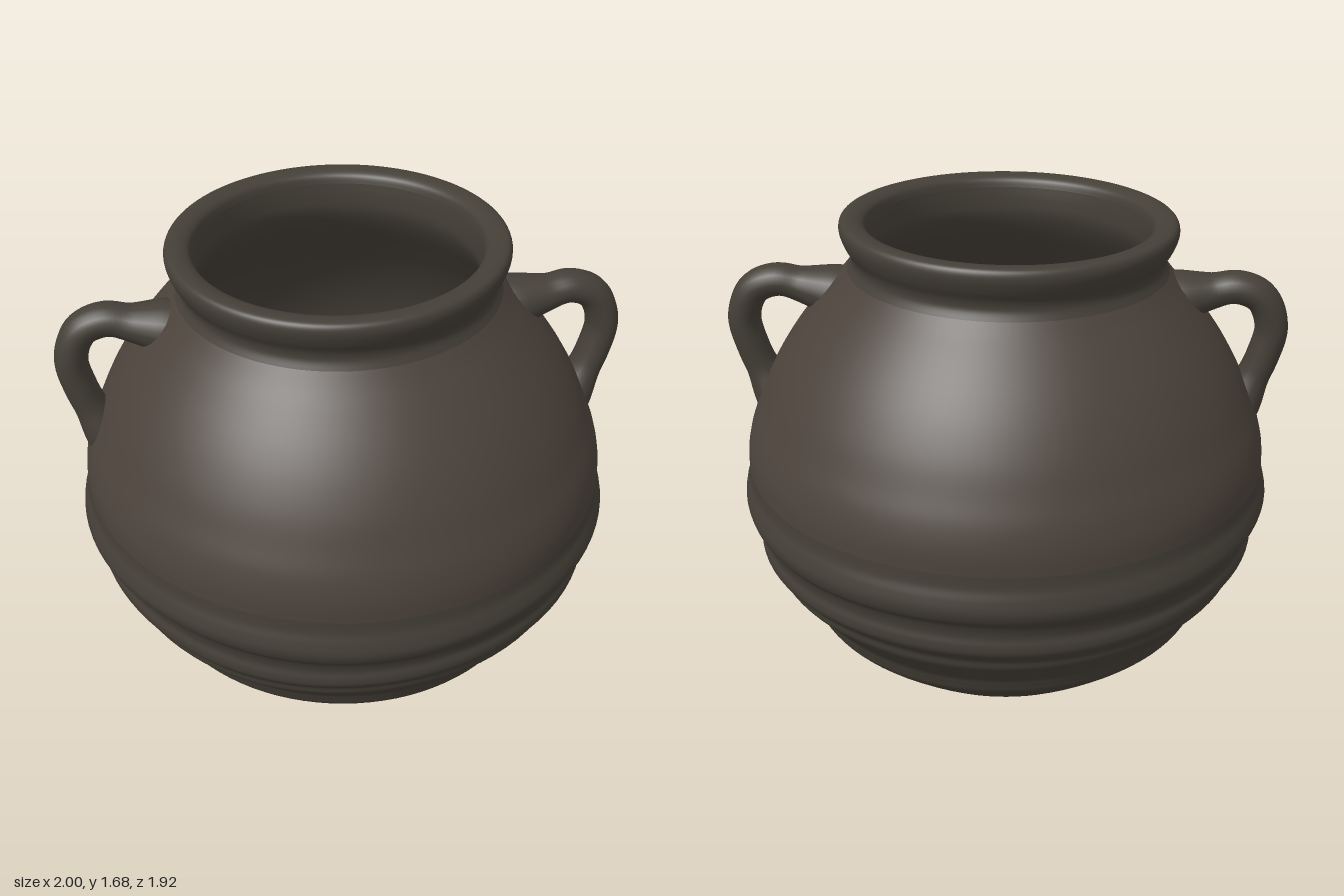
import * as THREE from 'three';

const warmClay = new THREE.MeshStandardMaterial({ name: 'warmClay', color: 0x4b423b });
const darkClay = new THREE.MeshStandardMaterial({ name: 'darkClay', color: 0x443f37 });

const toVectors = (list) => list.map(([x, y]) => new THREE.Vector2(x, y));
const smooth = (list, steps) => new THREE.SplineCurve(toVectors(list)).getPoints(list.length * steps);

// Hand-thrown irregularity: gentle waviness low down, a slightly tilted and shifted mouth
function handThrow(geometry) {
  const p = geometry.attributes.position;
  for (let i = 0; i < p.count; i++) {
    const x = p.getX(i), y = p.getY(i), z = p.getZ(i);
    const a = Math.atan2(z, x);
    const up = THREE.MathUtils.smoothstep(y, 1.1, 1.66);
    const low = THREE.MathUtils.smoothstep(y, 0.1, 0.4) * (1 - THREE.MathUtils.smoothstep(y, 0.6, 0.8));
    const wave = 1 + low * 0.004 * Math.sin(5 * a + y * 9);
    p.setXYZ(i, x * wave - 0.014 * up, y + up * 0.012 * x, z * wave - 0.008 * up);
  }
  return geometry;
}

function lathePart(name, points, material) {
  const mesh = new THREE.Mesh(handThrow(new THREE.LatheGeometry(points, 96)), material);
  mesh.name = name;
  return mesh;
}

// Loop handle: a tube that flares where it meets the body
function handle(name, side) {
  const path = new THREE.CatmullRomCurve3([
    [0.54, 1.37, 0], [0.63, 1.385, 0], [0.72, 1.402, 0], [0.81, 1.42, -0.005], [0.895, 1.385, -0.005],
    [0.94, 1.28, 0], [0.92, 1.16, 0.005], [0.875, 1.04, 0.01], [0.83, 0.94, 0.01],
  ].map(([x, y, z]) => new THREE.Vector3(side * x, y, side < 0 ? z + 0.012 : z)));
  const rings = 56, sides = 20;
  const geometry = new THREE.TubeGeometry(path, rings, 0.058, sides);
  const p = geometry.attributes.position, v = new THREE.Vector3();
  for (let i = 0; i < p.count; i++) {
    const t = Math.floor(i / (sides + 1)) / rings;
    const centre = path.getPointAt(t);
    const flare = 0.6 * (1 - THREE.MathUtils.smoothstep(t, 0.05, 0.28)) + 0.45 * THREE.MathUtils.smoothstep(t, 0.78, 0.98);
    v.fromBufferAttribute(p, i).sub(centre).multiplyScalar(1 + flare);
    v.z *= 1.2;
    v.add(centre);
    p.setXYZ(i, v.x, v.y, v.z);
  }
  geometry.computeVertexNormals();
  // Share normals along the tube seam
  const n = geometry.attributes.normal;
  for (let r = 0; r <= rings; r++) {
    const a = r * (sides + 1), b = a + sides;
    v.fromBufferAttribute(n, a).add(new THREE.Vector3().fromBufferAttribute(n, b)).normalize();
    n.setXYZ(a, v.x, v.y, v.z);
    n.setXYZ(b, v.x, v.y, v.z);
  }
  const mesh = new THREE.Mesh(geometry, darkClay);
  mesh.name = name;
  return mesh;
}

export function createModel() {
  const pot = new THREE.Group();
  pot.name = 'twoHandledPot';

  // Flat foot
  pot.add(lathePart('base', toVectors([[0, 0.006], [0.48, 0], [0.505, 0.008]]), darkClay));

  // Ridged lower belly
  pot.add(lathePart('ridgedBelly', smooth([
    [0.505, 0.008], [0.56, 0.05], [0.65, 0.125], [0.73, 0.2], [0.752, 0.245], [0.77, 0.285],
    [0.825, 0.35], [0.865, 0.4], [0.878, 0.44], [0.912, 0.485], [0.918, 0.52], [0.912, 0.555],
    [0.925, 0.6], [0.95, 0.635], [0.962, 0.675], [0.955, 0.715], [0.942, 0.755], [0.938, 0.8],
  ], 5), darkClay));

  // Smooth shoulder
  pot.add(lathePart('shoulder', smooth([
    [0.938, 0.8], [0.933, 0.87], [0.912, 0.95], [0.878, 1.03], [0.835, 1.125], [0.78, 1.22],
    [0.72, 1.305], [0.65, 1.39], [0.595, 1.452], [0.56, 1.495],
  ], 4), warmClay));

  // Flared neck and rolled lip
  pot.add(lathePart('rim', smooth([
    [0.56, 1.495], [0.546, 1.525], [0.549, 1.555], [0.568, 1.59], [0.581, 1.625], [0.582, 1.65],
    [0.572, 1.667], [0.55, 1.672], [0.52, 1.668], [0.498, 1.655], [0.489, 1.63],
  ], 5), darkClay));

  // Hollow inside
  pot.add(lathePart('interior', smooth([
    [0.489, 1.63], [0.484, 1.58], [0.488, 1.52], [0.53, 1.44], [0.62, 1.32], [0.72, 1.18], [0.8, 1.03],
    [0.85, 0.87], [0.86, 0.68], [0.82, 0.5], [0.72, 0.32], [0.58, 0.17], [0.42, 0.1], [0.2, 0.08], [0, 0.078],
  ], 4), darkClay));

  pot.add(handle('leftHandle', 1), handle('rightHandle', -1));
  return pot;
}
